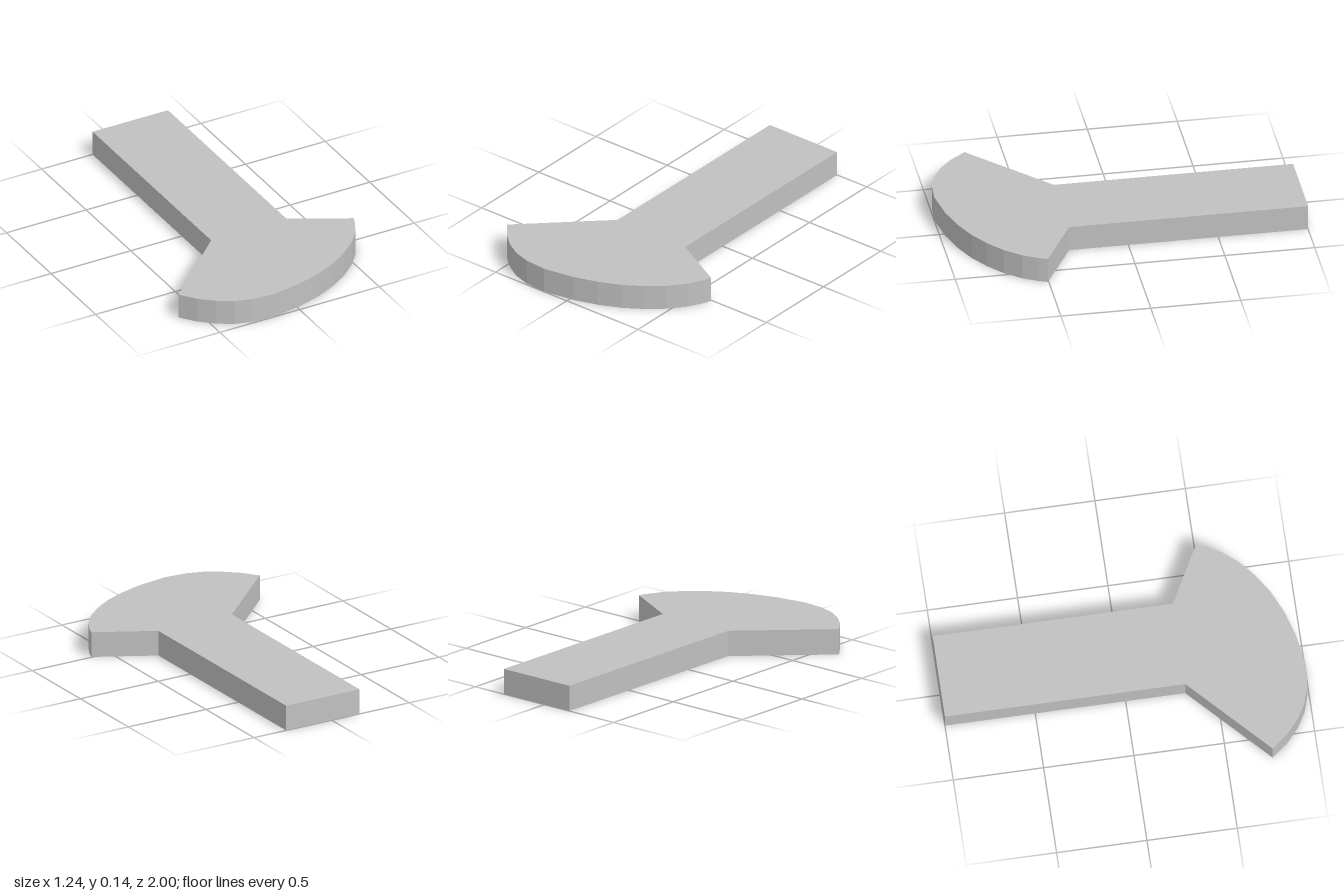
import * as THREE from 'three';

const THICKNESS = 0.145;

export function createModel() {
  const model = new THREE.Group();
  model.name = 'flatBladeWithHandle';
  const grey = new THREE.MeshStandardMaterial({ color: 0xc0c0c0 });
  grey.name = 'plain grey';

  // Plan outline as (x, z): straight handle, then slanted shoulders
  const handle = [[-0.62, 0.75], [-0.18, 0.33], [-0.18, -1], [0.293, -1], [0.293, 0.33], [0.617, 0.505]];
  // Faceted curved edge, from the left tip round to the right tip
  const curvedEdge = [
    [0.6, 0.55], [0.555, 0.635], [0.48, 0.725], [0.39, 0.802], [0.285, 0.87], [0.16, 0.927],
    [0.02, 0.97], [-0.16, 1], [-0.29, 0.99], [-0.385, 0.96], [-0.47, 0.91], [-0.55, 0.84],
  ];
  const outline = new THREE.Shape([...handle, ...curvedEdge].map(([x, z]) => new THREE.Vector2(x, z)));

  // One solid slab, laid flat on the ground
  const slab = new THREE.ExtrudeGeometry(outline, { depth: THICKNESS, bevelEnabled: false });
  slab.rotateX(Math.PI / 2).translate(0, THICKNESS, 0);
  const mesh = new THREE.Mesh(slab, grey);
  mesh.name = 'bladeAndHandle';
  model.add(mesh);
  return model;
}
